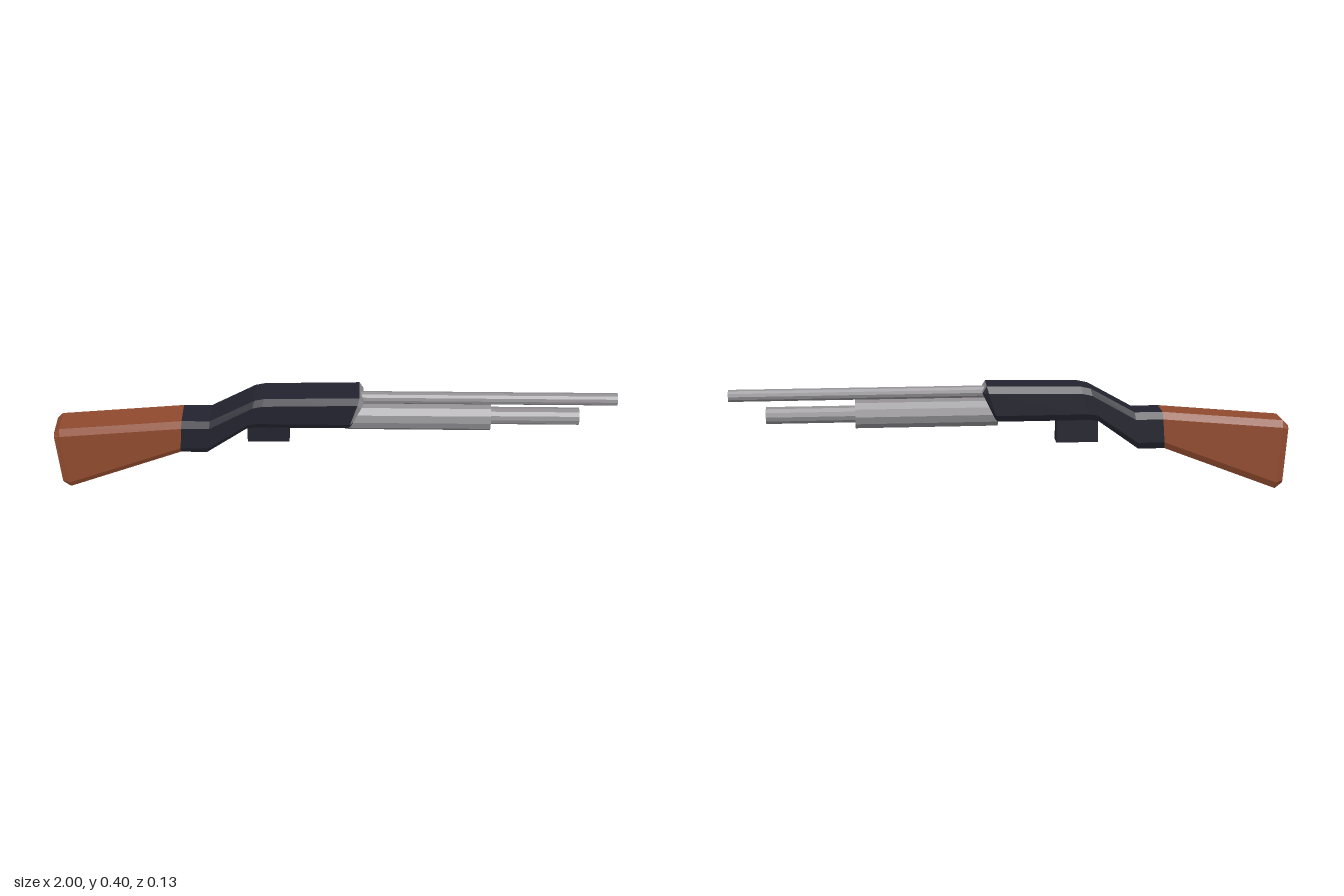
import * as THREE from 'three';

const material = (name, color) => {
  const m = new THREE.MeshStandardMaterial({ color, flatShading: true });
  m.name = name;
  return m;
};

// Chamfered section between a top point and a bottom point, counter-clockwise seen from +x
function section([tx, ty, bx, by, w = 0.063, inner = 0.05, chamfer = 0.025]) {
  const t = chamfer / Math.hypot(bx - tx, by - ty);
  const at = (k, z) => [tx + (bx - tx) * k, ty + (by - ty) * k, z];
  return [
    at(0, inner), at(t, w), at(1 - t, w), at(1, inner),
    at(1, -inner), at(1 - t, -w), at(t, -w), at(0, -inner),
  ];
}

// Flat-faced skin through the sections; include(side) can leave out some strips
function loft(stations, { startCap = false, endCap = false, include = () => true } = {}) {
  const rings = stations.map(section);
  const n = rings[0].length;
  const pos = [];
  const tri = (a, b, c) => pos.push(...a, ...b, ...c);
  for (let i = 0; i < rings.length - 1; i++) {
    for (let j = 0; j < n; j++) {
      if (!include(j)) continue;
      const k = (j + 1) % n;
      const a = rings[i], b = rings[i + 1];
      tri(a[j], a[k], b[k]);
      tri(a[j], b[k], b[j]);
    }
  }
  const last = rings[rings.length - 1];
  for (let j = 1; j < n - 1; j++) {
    if (startCap) tri(rings[0][0], rings[0][j + 1], rings[0][j]);
    if (endCap) tri(last[0], last[j], last[j + 1]);
  }
  const g = new THREE.BufferGeometry();
  g.setAttribute('position', new THREE.Float32BufferAttribute(pos, 3));
  g.computeVertexNormals();
  return g;
}

export function createModel() {
  const wood = material('wood', 0x8f4a2e);
  const dark = material('darkMetal', 0x23232f);
  const steel = material('steel', 0x8f8d90);
  const group = new THREE.Group();

  const add = (name, geometry, mat) => {
    const mesh = new THREE.Mesh(geometry, mat);
    mesh.name = name;
    group.add(mesh);
    return mesh;
  };

  // Shoulder stock, with a bevelled butt
  const wrist = [-0.54, 0.295, -0.55, 0.16];
  add('stock', loft([
    [-1, 0.235, -0.985, 0.02, 0.058, 0.05, 0.012],
    [-0.98, 0.255, -0.96, 0],
    wrist,
  ], { startCap: true }), wood);

  // Bent grip and receiver
  const mouth = [0.09, 0.4, 0.05, 0.27];
  add('receiver', loft([
    wrist,
    [-0.44, 0.295, -0.455, 0.16],
    [-0.28, 0.385, -0.31, 0.265],
    [-0.245, 0.393, -0.28, 0.27],
    mouth,
  ]), dark);

  // Bevelled front of the receiver: steel, with dark strips on the far side and underneath
  const face = [0.105, 0.375, 0.06, 0.28, 0.053, 0.05, 0.02];
  const isDark = (side) => side >= 2 && side <= 6;
  add('receiverFace', loft([mouth, face], { endCap: true, include: (s) => !isDark(s) }), steel);
  add('receiverLip', loft([mouth, face], { include: isDark }), dark);

  // Trigger block
  const block = add('triggerBlock', new THREE.BoxGeometry(0.15, 0.1, 0.056), dark);
  block.position.set(-0.235, 0.235, -0.01);

  // Round parts along x; the last material colours the front end
  const tube = (name, x0, x1, y, r, end) => {
    const g = new THREE.CylinderGeometry(r, r, x1 - x0, 12);
    g.rotateZ(-Math.PI / 2);
    add(name, g, [steel, end, steel]).position.set((x0 + x1) / 2, y, 0);
  };
  tube('barrel', 0.05, 1, 0.37, 0.022, wood);
  tube('magazineTube', 0.5, 0.87, 0.296, 0.031, wood);
  tube('foreGrip', 0.05, 0.555, 0.296, 0.053, steel);

  return group;
}
